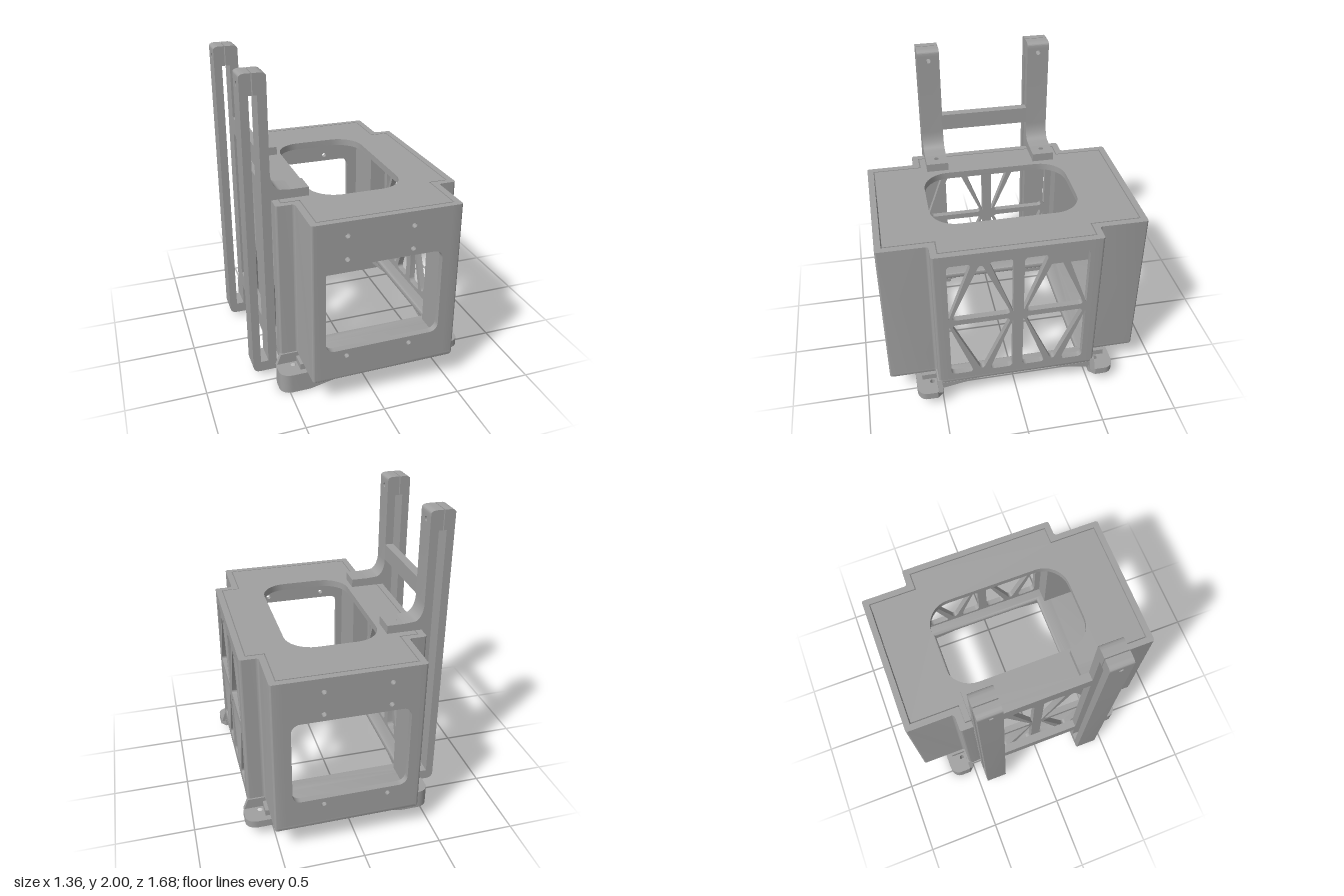
import * as THREE from 'three';
import { toCreasedNormals } from 'three/addons/utils/BufferGeometryUtils.js';

const grey = new THREE.MeshStandardMaterial({ color: 0xa0a0a0 });
grey.name = 'grey';

// Closed outline from [x, y, cornerRadius] points
function outline(pts, Type = THREE.Shape) {
  const s = new Type();
  const n = pts.length;
  const toward = (a, b, d) => {
    const l = Math.hypot(b[0] - a[0], b[1] - a[1]);
    const t = Math.min(d / l, 0.48);
    return [a[0] + (b[0] - a[0]) * t, a[1] + (b[1] - a[1]) * t];
  };
  pts.forEach((p, i) => {
    const a = toward(p, pts[(i + n - 1) % n], p[2] || 0);
    const b = toward(p, pts[(i + 1) % n], p[2] || 0);
    if (i === 0) s.moveTo(...a); else s.lineTo(...a);
    if (p[2]) {
      const k = 0.55;
      const mix = q => [q[0] + (p[0] - q[0]) * k, q[1] + (p[1] - q[1]) * k];
      s.bezierCurveTo(...mix(a), ...mix(b), ...b);
    }
  });
  s.closePath();
  return s;
}

const rect = (x0, x1, y0, y1, r = 0) => [[x0, y0, r], [x1, y0, r], [x1, y1, r], [x0, y1, r]];
const hole = pts => outline(pts, THREE.Path);
const drill = (x, y, r = 0.016) => new THREE.Path().absarc(x, y, r, 0, Math.PI * 2, true);

function extrude(pts, holes, depth, extra = {}) {
  const s = outline(pts);
  s.holes = holes;
  return new THREE.ExtrudeGeometry(s, { depth, bevelEnabled: false, curveSegments: 8, ...extra });
}

export function createModel() {
  const model = new THREE.Group();
  model.name = 'electronicsEnclosure';

  const add = (name, geo, x = 0, y = 0, z = 0) => {
    const m = new THREE.Mesh(toCreasedNormals(geo, 0.5), grey);
    m.name = name;
    m.position.set(x, y, z);
    model.add(m);
    return m;
  };
  const box = (name, x0, x1, y0, y1, z0, z1) =>
    add(name, new THREE.BoxGeometry(x1 - x0, y1 - y0, z1 - z0), (x0 + x1) / 2, (y0 + y1) / 2, (z0 + z1) / 2);
  // Profile in x,y extruded along z
  const front = (name, pts, holes, z0, z1) => add(name, extrude(pts, holes, z1 - z0), 0, 0, z0);
  // Profile in z,y extruded along x (profile is symmetric or local to z)
  const side = (name, pts, holes, x0, x1, z = 0) =>
    add(name, extrude(pts, holes, x1 - x0).rotateY(Math.PI / 2), x0, 0, z);
  // Plan in x,-z extruded upwards
  const plan = (name, pts, holes, y0, y1) =>
    add(name, extrude(pts, holes, y1 - y0).rotateX(-Math.PI / 2), 0, y0, 0);

  const CX = 0.0625, TOP = 1.23, BASE = 0.185;
  // Stepped plan of the case, inset by d
  const cross = (d, r) => {
    const q = [[0.4675 - d, 0.84 - d], [0.4675 - d, 0.525 - d], [0.5825 - d, 0.525 - d]];
    const flip = (list, sx, sy) => list.map(([u, v]) => [CX + u * sx, v * sy, r]);
    const rev = [...q].reverse();
    return [...flip(q, 1, 1), ...flip(rev, 1, -1), ...flip(q, -1, -1), ...flip(rev, -1, 1)];
  };

  // Lid with its large rounded opening, set in the rim with a fine gap
  plan('lid', cross(0.047, 0), [hole(rect(-0.26, 0.335, -0.48, 0.48, 0.17))], 1.185, TOP);

  // Floor with softened edges
  const floor = extrude(cross(0, 0.02), [hole(rect(-0.40, 0.525, -0.435, 0.435))], 0.015,
    { bevelEnabled: true, bevelSize: 0.02, bevelThickness: 0.02, bevelOffset: -0.02, bevelSegments: 3 });
  add('floor', floor.rotateX(-Math.PI / 2), 0, BASE, 0);

  // Stepped corner walls
  const corner = [[0.40, 0.84], [0.4675, 0.84, 0.015], [0.4675, 0.525, 0.02], [0.5825, 0.525, 0.015],
    [0.5825, 0.45], [0.5425, 0.45], [0.5425, 0.485], [0.4275, 0.485], [0.4275, 0.80], [0.40, 0.80]];
  for (const sx of [1, -1]) for (const sz of [1, -1])
    plan('cornerWall', corner.map(([u, v, r]) => [CX + u * sx, v * sz, r]), [], BASE, TOP);

  // Front and back panels with window and screw holes
  const panelHoles = [hole(rect(-0.32, 0.415, 0.375, 0.945, 0.055))];
  for (const x of [-0.19, 0.22]) for (const y of [0.33, 0.99, 1.14]) panelHoles.push(drill(x, y));
  for (const [name, z] of [['frontPanel', 0.80], ['backPanel', -0.84]])
    front(name, rect(CX - 0.40, CX + 0.40, BASE, TOP), panelHoles, z, z + 0.04);

  // Side panels with a truss of triangular cut-outs
  const cuts = [
    [[0.44, 0.455, 0.03], [0.29, 0.455, 0.03], [0.44, 0.03, 0.015]],
    [[0.235, 0.46, 0.05], [0.425, 0.02, 0.03], [0.045, 0.02, 0.03]],
    [[0.185, 0.455, 0.03], [0.033, 0.455, 0.03], [0.033, 0.03, 0.015]],
  ];
  const truss = [];
  for (const sz of [1, -1]) for (const sy of [1, -1])
    for (const c of cuts) truss.push(hole(c.map(([z, y, r]) => [z * sz, 0.702 + y * sy, r])));
  for (const [name, x] of [['leftTrussPanel', CX + 0.5425], ['rightTrussPanel', CX - 0.5825]])
    side(name, rect(-0.45, 0.45, BASE, TOP), truss, x, x + 0.04);

  // Mounting bars, feet and gussets, front and back
  for (const s of [1, -1]) {
    const span = (a, b) => (s > 0 ? [a, b] : [-b, -a]);
    front('mountingBar', [[-0.42, 0], [-0.365, 0], [0.02, 0.08], [0.55, 0.08], [0.55, 0.13], [-0.42, 0.13]],
      [], ...span(0.50, 0.67));
    box('barRiser', -0.42, 0.55, 0.12, 0.17, ...span(0.50, 0.63));
    for (const [m, y0] of [[1, 0.08], [-1, 0]]) {
      const X = x => (m > 0 ? x : 2 * CX - x);
      const Z = z => -z * s;
      plan('foot', [[X(0.53), Z(0.67)], [X(0.68), Z(0.67), 0.08], [X(0.68), Z(0.54)],
        [X(0.645), Z(0.50)], [X(0.53), Z(0.50)]], [drill(X(0.575), Z(0.565))], y0, 0.13);
      front('footGusset', [[X(0.53), 0.12], [X(0.675), 0.12], [X(0.645), 0.2], [X(0.53), 0.2]],
        [], ...span(0.505, 0.535));
      // Tapered rib under the side wall
      side('sideRib', [[-0.26 * s, 0.17], [-0.51 * s, 0.12], [-0.51 * s, 0.17]],
        [], Math.min(X(0.53), X(0.64)), Math.max(X(0.53), X(0.64)));
    }
  }

  // Slotted upright posts with curved tabs resting on the lid
  for (const s of [1, -1]) {
    const zc = 0.3675 * s, z0 = zc - 0.0725, z1 = zc + 0.0725;
    front('post', [[-0.68, 0.035, 0.04], [-0.525, 0.035], [-0.525, 1.235], [-0.40, 1.235], [-0.40, 1.29],
      [-0.525, 1.30, 0.11], [-0.525, 1.875], [-0.58, 1.875], [-0.58, 0.105], [-0.63, 0.105],
      [-0.63, 1.875], [-0.68, 1.875]], [], z0, z1);
    plan('postTab', [[-0.40, -z0], [-0.29, -z0], [-0.29, -z1], [-0.40, -z1]],
      [drill(-0.36, -zc)], 1.235, 1.29);
    // Split clamping head with a cross hole
    for (const [x0, x1, outer] of [[-0.68, -0.611, -0.68], [-0.605, -0.525, -0.525]]) {
      side('postHead', rect(-0.0725, 0.0725, 1.875, 1.96), [drill(0, 1.93)], x0, x1, zc);
      const inner = outer === x0 ? x1 : x0;
      front('postCap', [[outer, 1.96], [inner, 1.96], [inner, 2], [outer, 2, 0.038]], [], z0, z1);
    }
  }

  // Cross beams joining the posts
  for (const y of [0.25, 1.42]) box('crossBeam', -0.58, -0.525, y, y + 0.11, -0.30, 0.30);

  return model;
}
